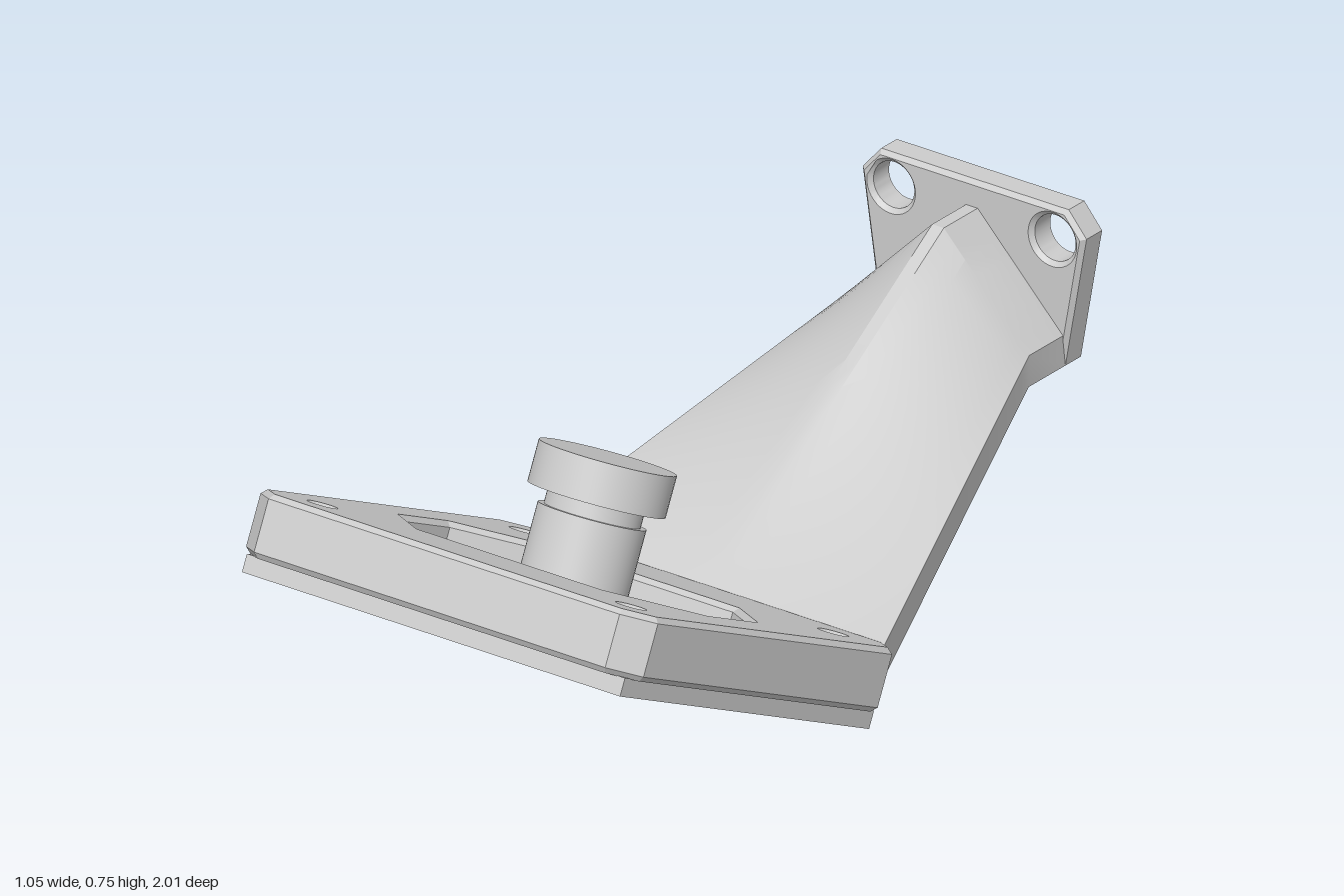
import * as THREE from 'three';
import { toCreasedNormals } from 'three/addons/utils/BufferGeometryUtils.js';

const material = new THREE.MeshStandardMaterial({ color: 0xcccccc, side: THREE.DoubleSide });

function add(parent, name, geometry, x = 0, y = 0, z = 0) {
  const mesh = new THREE.Mesh(geometry, material);
  mesh.name = name;
  mesh.position.set(x, y, z);
  parent.add(mesh);
  return mesh;
}

// Rectangle with cut corners, centred on the origin
function octagon(hx, hy, cx, cy = cx) {
  return [
    [hx, -hy + cy], [hx, hy - cy], [hx - cx, hy], [-hx + cx, hy],
    [-hx, hy - cy], [-hx, -hy + cy], [-hx + cx, -hy], [hx - cx, -hy],
  ].map(([x, y]) => new THREE.Vector2(x, y));
}

function circle(x, y, r) {
  return new THREE.Path().absarc(x, y, r, 0, Math.PI * 2, true);
}

// Extrusion whose chamfers stay inside the given outline and depth
function slab(shape, depth, chamfer = 0) {
  const g = new THREE.ExtrudeGeometry(shape, {
    depth: depth - 2 * chamfer, bevelEnabled: chamfer > 0, bevelSegments: 1,
    bevelSize: chamfer, bevelThickness: chamfer, bevelOffset: -chamfer, curveSegments: 20,
  });
  g.translate(0, 0, chamfer);
  return toCreasedNormals(g, 0.5);
}

// Arm: straight bar at the plate, folding into a roof section at the wall
function armGeometry() {
  const start = { w: 0.46, ridge: 0.158, edge: 0.158, ridgeLow: 0.038, edgeLow: 0.038, z: 0.01, zLow: 0.055 };
  const end = { w: 0.24, ridge: 0.69, edge: 0.46, ridgeLow: 0.61, edgeLow: 0.387, z: -0.8, zLow: -0.8 };
  const wall = { ...end, z: -0.93, zLow: -0.93 };
  const mix = (a, b, t) => Object.fromEntries(Object.keys(a).map((k) => [k, a[k] + (b[k] - a[k]) * t]));
  const sections = [];
  const steps = 16, half = 8, flat = 0.015;
  for (let i = 0; i <= steps; i++) sections.push(mix(start, end, i / steps));
  sections.push(wall);

  const rings = sections.map((s) => {
    const top = [], low = [];
    for (const side of [-1, 1]) {
      for (let j = 0; j <= half; j++) {
        const f = side < 0 ? 1 - j / half : j / half; // 0 at ridge, 1 at edge
        const x = side * (flat + (s.w - flat) * f);
        top.push([x, s.ridge + (s.edge - s.ridge) * f, s.z]);
        low.push([x, s.ridgeLow + (s.edgeLow - s.ridgeLow) * f, s.zLow]);
      }
    }
    return [...top, ...low.reverse()];
  });

  const n = rings[0].length, index = [];
  for (let i = 0; i < rings.length - 1; i++) {
    for (let j = 0; j < n; j++) {
      const a = i * n + j, b = i * n + (j + 1) % n;
      index.push(a, b, b + n, a, b + n, a + n);
    }
  }
  const g = new THREE.BufferGeometry();
  g.setAttribute('position', new THREE.Float32BufferAttribute(rings.flat(2), 3));
  g.setIndex(index);
  return toCreasedNormals(g, 0.35);
}

export function createModel() {
  const root = new THREE.Group();
  root.name = 'cameraMount';
  const body = new THREE.Group();
  body.name = 'mountBody';
  body.rotation.set(0, 0.02, -0.016);
  root.add(body);

  // Tilted camera head: local y is the plate normal, y = 0 its top face
  const head = new THREE.Group();
  head.name = 'cameraHead';
  head.position.set(-0.008, 0.38, 0.471);
  head.rotation.x = THREE.MathUtils.degToRad(-25);
  body.add(head);

  // Cover plate with octagonal window and four screw holes
  const plate = new THREE.Shape(octagon(0.515, 0.523, 0.06));
  plate.holes.push(new THREE.Path(octagon(0.39, 0.26, 0.155, 0.165).reverse()));
  for (const x of [-0.4, 0.4]) for (const z of [-0.4, 0.4]) plate.holes.push(circle(x, z, 0.022));
  add(head, 'coverPlate', slab(plate, 0.14, 0.012), 0, -0.14, 0).rotation.x = -Math.PI / 2;

  // Circuit board closing the underside
  add(head, 'circuitBoard', new THREE.BoxGeometry(0.98, 0.04, 0.985), 0, -0.159, 0);

  // Lens holder with two drilled ears
  add(head, 'lensHolder', new THREE.BoxGeometry(0.36, 0.05, 0.3), 0, -0.115, 0);
  for (const side of [-1, 1]) {
    const ear = new THREE.Shape();
    ear.moveTo(-0.04, -0.058);
    ear.lineTo(0, -0.058);
    ear.absarc(0, 0, 0.058, -Math.PI / 2, Math.PI / 2, false);
    ear.lineTo(-0.04, 0.058);
    ear.closePath();
    ear.holes.push(circle(0, 0, 0.018));
    const mesh = add(head, 'holderEar', slab(ear, 0.04), side * 0.21, -0.14, 0);
    mesh.rotation.set(-Math.PI / 2, 0, side < 0 ? Math.PI : 0);
  }

  // Lens barrel, neck and cap turned as one profile
  const profile = [
    [0, -0.1], [0.118, -0.1], [0.118, 0.115], [0.105, 0.115],
    [0.105, 0.15], [0.15, 0.15], [0.15, 0.242], [0, 0.242],
  ].map(([r, y]) => new THREE.Vector2(r, y));
  add(head, 'lens', toCreasedNormals(new THREE.LatheGeometry(profile, 48), 0.5));

  // Arm and wall flange
  add(body, 'arm', armGeometry(), -0.008, 0, 0);
  const flange = new THREE.Shape([
    [-0.24, 0.387], [0.24, 0.387], [0.29, 0.695], [0.243, 0.75], [-0.243, 0.75], [-0.29, 0.695],
  ].map(([x, y]) => new THREE.Vector2(x, y)));
  for (const x of [-0.209, 0.209]) flange.holes.push(circle(x, 0.675, 0.053));
  add(body, 'wallFlange', slab(flange, 0.075, 0.01), -0.008, 0, -0.995);

  return root;
}
